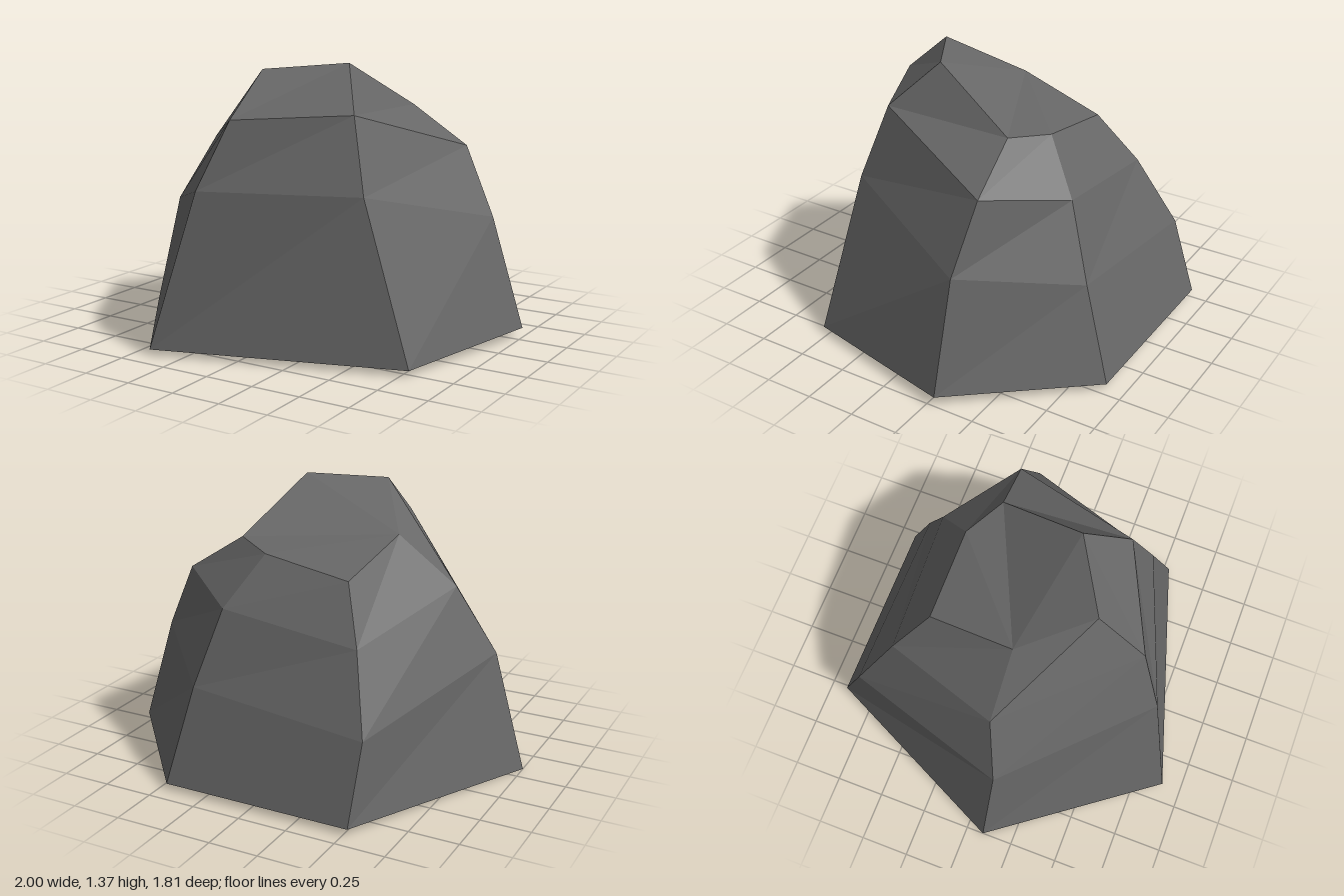
import * as THREE from 'three';

// Rings from the ground up: six [x, y, z] corners each, counter-clockwise from above
const RINGS = [
  [[-1, 0, 0.09], [-0.41, 0.03, 0.9], [0.79, 0.03, 0.53], [1, 0.05, -0.29], [0.46, 0.03, -0.91], [-0.52, 0.03, -0.91]],
  [[-0.83, 0.59, 0.1], [-0.24, 0.79, 0.74], [0.51, 0.79, 0.46], [0.83, 0.6, -0.28], [0.39, 0.49, -0.75], [-0.53, 0.41, -0.78]],
  [[-0.64, 0.93, 0.02], [-0.13, 1.12, 0.61], [0.4, 1.15, 0.36], [0.66, 0.94, -0.32], [0.3, 0.86, -0.61], [-0.41, 0.77, -0.6]],
  [[-0.33, 1.15, 0.02], [-0.11, 1.34, 0.36], [0.25, 1.37, 0.15], [0.37, 1.13, -0.3], [0.17, 1.1, -0.42], [-0.28, 1.03, -0.43]],
];

function mesh(name, triangles, material) {
  const geometry = new THREE.BufferGeometry();
  geometry.setAttribute('position', new THREE.Float32BufferAttribute(triangles.flat(), 3));
  geometry.computeVertexNormals();
  const result = new THREE.Mesh(geometry, material);
  result.name = name;
  return result;
}

export function createModel() {
  const group = new THREE.Group();
  group.name = 'rock';
  const stone = new THREE.MeshStandardMaterial({ color: 0x666666, flatShading: true, side: THREE.DoubleSide });
  stone.name = 'stone grey';

  // Faceted sides, open underneath
  const sides = [];
  for (let r = 0; r < RINGS.length - 1; r++) {
    const low = RINGS[r], high = RINGS[r + 1];
    for (let i = 0; i < 6; i++) {
      const j = (i + 1) % 6;
      sides.push(low[i], low[j], high[j], low[i], high[j], high[i]);
    }
  }
  group.add(mesh('rockSides', sides, stone));

  // Sloping top, fanned from its left corner
  const top = RINGS[3], cap = [];
  for (let i = 1; i < 5; i++) cap.push(top[0], top[i], top[i + 1]);
  group.add(mesh('rockTop', cap, stone));

  return group;
}
